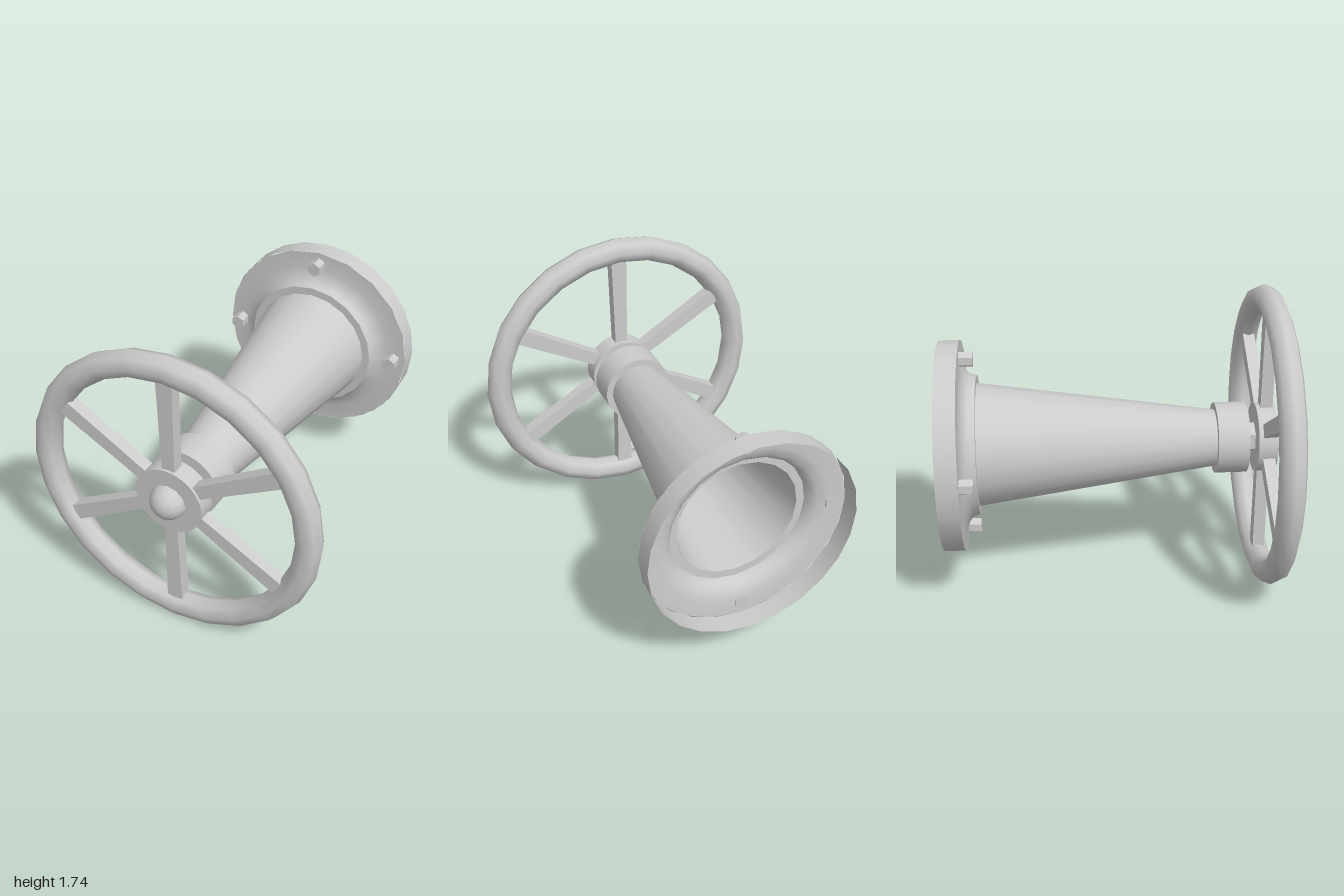
import * as THREE from 'three';

const AXIS_Y = 0.858; // height of the common axis
const grey = new THREE.MeshStandardMaterial({ color: 0xcccccc });
const greyOpen = new THREE.MeshStandardMaterial({ color: 0xcccccc, side: THREE.DoubleSide });

function add(parent, name, geometry, material = grey) {
  const mesh = new THREE.Mesh(geometry, material);
  mesh.name = name;
  parent.add(mesh);
  return mesh;
}

// Open surface turned around the z axis from [radius, z] points
function turned(points, sides) {
  const profile = points.map(([r, z]) => new THREE.Vector2(r, z));
  return new THREE.LatheGeometry(profile, sides).rotateX(Math.PI / 2);
}

// Closed cylinder along z between two depths
function rod(radius, z0, z1, sides, flat = false) {
  const g = new THREE.CylinderGeometry(radius, radius, z1 - z0, sides)
    .rotateX(Math.PI / 2).translate(0, 0, (z0 + z1) / 2);
  if (!flat) return g;
  const faceted = g.toNonIndexed();
  faceted.computeVertexNormals();
  return faceted;
}

// Spoke along +y, a little wider at the rim
function spokeGeometry(inner, outer) {
  const g = new THREE.BoxGeometry(1, outer - inner, 0.07).translate(0, (inner + outer) / 2, 0);
  const p = g.attributes.position;
  for (let i = 0; i < p.count; i++) {
    const t = (p.getY(i) - inner) / (outer - inner);
    p.setX(i, p.getX(i) * (0.075 + 0.02 * t));
  }
  g.computeVertexNormals();
  return g;
}

export function createModel() {
  const model = new THREE.Group();
  model.name = 'valveHandwheel';

  // Hollow stand: flange, fillet, step and tapered pipe
  const stand = new THREE.Group();
  stand.name = 'stand';
  stand.position.y = AXIS_Y;
  model.add(stand);
  add(stand, 'flangeRim', turned([[0.603, -1], [0.603, -0.88]], 24), greyOpen);
  add(stand, 'flangeFillet', turned([
    [0.603, -0.88], [0.5, -0.878], [0.445, -0.86], [0.412, -0.832], [0.402, -0.793],
  ], 20), greyOpen);
  add(stand, 'step', turned([[0.402, -0.793], [0.355, -0.793]], 20), greyOpen);
  add(stand, 'taperedPipe', turned([[0.355, -0.793], [0.165, 0.565]], 20), greyOpen);
  add(stand, 'collar', rod(0.205, 0.565, 0.745, 32));
  add(stand, 'hexShaft', rod(0.09, 0.74, 0.83, 6, true));

  // Four hexagonal bolts on the flange
  for (let i = 0; i < 4; i++) {
    const a = (i * Math.PI) / 2;
    add(stand, 'bolt', rod(0.044, -0.885, -0.803, 6, true))
      .position.set(0.525 * Math.cos(a), 0.525 * Math.sin(a), 0);
  }

  // Handwheel: rim, hub, domed cap and six spokes
  const wheel = new THREE.Group();
  wheel.name = 'handwheel';
  wheel.position.set(0, 0.87, 0.857);
  model.add(wheel);
  add(wheel, 'rim', new THREE.TorusGeometry(0.795, 0.075, 8, 24));
  const hubY = AXIS_Y - 0.87;
  add(wheel, 'hub', rod(0.2, -0.06, 0.05, 32)).position.y = hubY;
  add(wheel, 'domedCap', new THREE.SphereGeometry(0.107, 12, 8).rotateX(Math.PI / 2))
    .position.set(0, hubY, 0.036);
  for (let i = 0; i < 6; i++) {
    add(wheel, 'spoke', spokeGeometry(0.15, 0.75)).rotation.z = (i * Math.PI) / 3;
  }
  return model;
}
